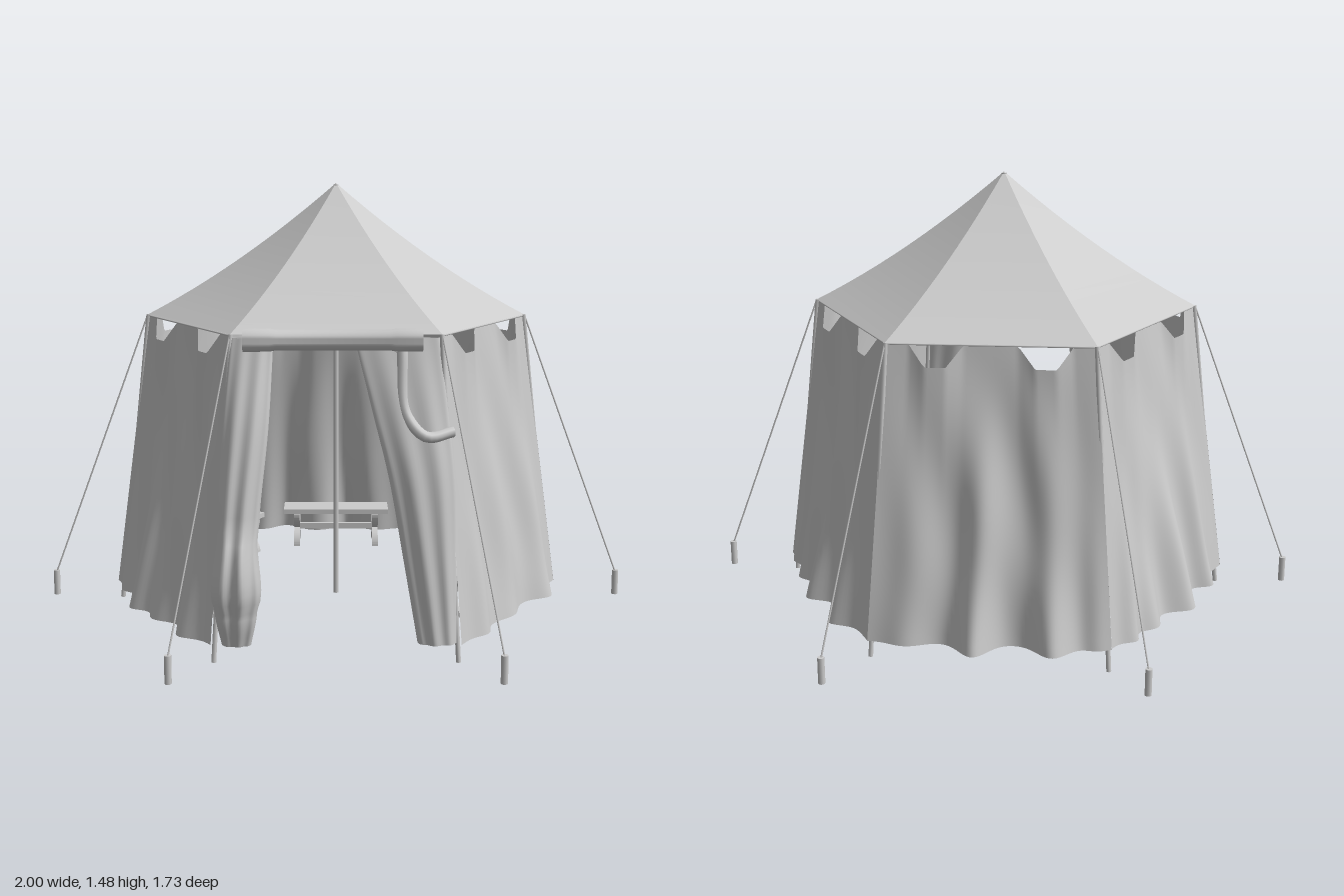
import * as THREE from 'three';
import { toCreasedNormals } from 'three/addons/utils/BufferGeometryUtils.js';

const grey = new THREE.MeshStandardMaterial({ color: 0xcccccc });
const cloth = new THREE.MeshStandardMaterial({ color: 0xcccccc, side: THREE.DoubleSide });
const V = (x, y, z) => new THREE.Vector3(x, y, z);

function mesh(name, geometry, material = grey) {
  const m = new THREE.Mesh(geometry, material);
  m.name = name;
  return m;
}

// Point on the ray through corner k of the hexagon
function corner(k, r, y) {
  const a = (k * Math.PI) / 3;
  return V(Math.cos(a) * r, y, Math.sin(a) * r);
}

// Straight round bar between two points
function rod(name, a, b, radius, sides = 8) {
  const m = mesh(name, new THREE.CylinderGeometry(radius, radius, a.distanceTo(b), sides));
  m.position.copy(a).add(b).multiplyScalar(0.5);
  m.quaternion.setFromUnitVectors(V(0, 1, 0), b.clone().sub(a).normalize());
  return m;
}

// Grid surface from a rule point(u, v)
function sheet(nu, nv, point) {
  const pos = [], idx = [];
  for (let j = 0; j <= nv; j++) {
    for (let i = 0; i <= nu; i++) {
      pos.push(...point(i / nu, j / nv).toArray());
      if (i < nu && j < nv) {
        const a = j * (nu + 1) + i, b = a + nu + 1;
        idx.push(a, a + 1, b, a + 1, b + 1, b);
      }
    }
  }
  const g = new THREE.BufferGeometry();
  g.setAttribute('position', new THREE.Float32BufferAttribute(pos, 3));
  g.setIndex(idx);
  g.computeVertexNormals();
  return g;
}

// Wall panel: top edge with two sagging gaps, folds growing towards the hem
function wallPanel(k, folds) {
  const n = corner(k + 0.5, 1, 0);
  return sheet(72, 28, (t, v) => {
    let gap = 0;
    for (const c of [0.24, 0.76]) {
      gap = Math.max(gap, Math.min(1, Math.max(0, (0.13 - Math.abs(t - c)) / 0.08)));
    }
    const y = THREE.MathUtils.lerp(1.025 - 0.065 * gap, 0.085, v);
    const r = THREE.MathUtils.mapLinear(y, 1.03, 0.085, 0.64, 0.77);
    let out = 0.018 * gap * (1 - v) ** 4;
    for (const [c, amp, w] of folds) {
      const drift = c + 0.06 * (1 - v) * Math.sin(c * 23 + k);
      out += amp * v ** 1.8 * Math.exp(-(((t - drift) / w) ** 2));
    }
    out += 0.008 * Math.sin(t * Math.PI) * Math.sin(t * 17 + v * 7 + k * 2) * Math.sin(v * Math.PI);
    return corner(k, r, y).lerp(corner(k + 1, r, y), t).addScaledVector(n, out);
  });
}

// Gathered curtain lofted through rows of [y, x, z, half width, half depth]
function curtain(side, rows) {
  const centre = new THREE.CatmullRomCurve3(rows.map(([y, x, z]) => V(x, y, z)));
  const size = new THREE.CatmullRomCurve3(rows.map((r) => V(r[3], r[4], 0)));
  return sheet(56, 28, (u, v) => {
    const a = u * Math.PI * 2, c = centre.getPoint(v), s = size.getPoint(v);
    const ripple = 1 + 0.13 * Math.sin(a * 7 + v * 2);
    return V(side * (c.x + Math.cos(a) * s.x), c.y, c.z + Math.sin(a) * s.y * ripple);
  });
}

// Trestle bench with crossed-arch legs, standing along x
function bench() {
  const g = new THREE.Group();
  g.name = 'bench';
  const box = (name, w, h, d, x, y, z) => {
    const m = mesh(name, new THREE.BoxGeometry(w, h, d));
    m.position.set(x, y, z);
    g.add(m);
  };
  box('benchSeat', 0.4, 0.018, 0.12, 0, 0.222, 0);
  box('benchStretcher', 0.32, 0.022, 0.016, 0, 0.152, 0);
  const arch = new THREE.Shape();
  arch.absarc(0, 0, 0.066, 0, Math.PI, false);
  arch.absarc(0, 0, 0.044, Math.PI, 0, true);
  const archGeo = new THREE.ExtrudeGeometry(arch, { depth: 0.022, bevelEnabled: false, curveSegments: 14 });
  archGeo.translate(0, 0, -0.011);
  for (const x of [-0.15, 0.15]) {
    for (const flip of [0, Math.PI]) {
      const leg = mesh('benchLeg', archGeo);
      leg.rotation.set(flip, Math.PI / 2, 0, 'YXZ');
      leg.position.set(x, flip ? 0.213 : 0.088, 0);
      g.add(leg);
    }
  }
  return g;
}

export function createModel() {
  const tent = new THREE.Group();
  tent.name = 'tent';

  // Six-sided roof with a slight inward sweep
  const profile = [];
  for (let i = 0; i <= 12; i++) {
    const t = i / 12;
    profile.push(new THREE.Vector2(0.645 * (1 - t), 1.03 + 0.445 * t - 0.11 * t * (1 - t)));
  }
  const roof = new THREE.LatheGeometry(profile, 6, Math.PI / 6).toNonIndexed();
  tent.add(mesh('roof', toCreasedNormals(roof, 0.3), cloth));

  // Wall panels; the front side (k = 1) is the doorway
  const folds = {
    0: [[0.23, 0.06, 0.09], [0.55, 0.03, 0.1], [0.82, 0.03, 0.07]],
    2: [[0.17, 0.056, 0.08], [0.42, 0.06, 0.09], [0.6, 0.08, 0.08], [0.85, 0.03, 0.07]],
    3: [[0.22, 0.055, 0.06], [0.48, 0.085, 0.09], [0.72, 0.05, 0.08], [0.88, 0.04, 0.05]],
    4: [[0.06, 0.02, 0.06], [0.24, 0.078, 0.085], [0.56, 0.088, 0.08], [0.84, 0.03, 0.09]],
    5: [[0.23, 0.07, 0.07], [0.5, 0.075, 0.07], [0.72, 0.045, 0.07], [0.9, 0.02, 0.05]],
  };
  for (const k of [0, 2, 3, 4, 5]) {
    tent.add(mesh('wallPanel', wallPanel(k, folds[k]), cloth));
    const b = bench();
    b.position.copy(corner(k + 0.5, 0.49, 0));
    b.rotation.y = Math.PI / 2 - ((k + 0.5) * Math.PI) / 3;
    tent.add(b);
  }

  // Corner poles, guy ropes and stakes
  for (let k = 0; k < 6; k++) {
    tent.add(rod('cornerPole', corner(k, 0.642, 1.03), corner(k, 0.755, k === 4 ? 0 : 0.025), 0.008));
    tent.add(rod('guyRope', corner(k, 0.645, 1.03), corner(k, 0.988, 0.115), 0.003, 6));
    tent.add(rod('stake', corner(k, 0.988, 0.035), corner(k, 0.988, 0.122), 0.011, 10));
    if (k !== 1) tent.add(rod('eaveCord', corner(k, 0.64, 1.026), corner(k + 1, 0.64, 1.026), 0.003, 6));
  }
  tent.add(rod('centrePole', V(0, 0.04, 0), V(0, 1.47, 0), 0.009, 10));

  // Rolled-up door flap, thicker at its ends
  const rollProfile = [[0, -0.27], [0.034, -0.27], [0.035, -0.19], [0.031, -0.17],
    [0.031, 0.17], [0.035, 0.19], [0.036, 0.27], [0, 0.27]].map(([r, y]) => new THREE.Vector2(r, y));
  const rollGeo = toCreasedNormals(new THREE.LatheGeometry(rollProfile, 24).toNonIndexed(), 0.7);
  const roll = mesh('rolledFlap', rollGeo, cloth);
  roll.rotation.z = Math.PI / 2;
  roll.position.set(-0.01, 1.02, 0.607);
  tent.add(roll);

  // Tied-back door curtains
  tent.add(mesh('leftCurtain', curtain(1, [
    [1.02, 0.185, 0.55, 0.13, 0.012], [0.8, 0.225, 0.59, 0.115, 0.025], [0.6, 0.26, 0.62, 0.1, 0.035],
    [0.35, 0.285, 0.64, 0.08, 0.042], [0.09, 0.31, 0.655, 0.06, 0.035]]), cloth));
  tent.add(mesh('rightCurtain', curtain(-1, [
    [1.02, 0.255, 0.555, 0.065, 0.015], [0.75, 0.275, 0.615, 0.07, 0.035], [0.45, 0.3, 0.655, 0.065, 0.05],
    [0.2, 0.305, 0.68, 0.065, 0.05], [0.09, 0.305, 0.675, 0.045, 0.025]]), cloth));

  // Slack fold draped over the left curtain
  const drape = new THREE.CatmullRomCurve3([V(0.2, 0.98, 0.57), V(0.21, 0.8, 0.605),
    V(0.27, 0.73, 0.635), V(0.355, 0.74, 0.605)]);
  tent.add(mesh('curtainFold', new THREE.TubeGeometry(drape, 24, 0.017, 10), cloth));

  return tent;
}
